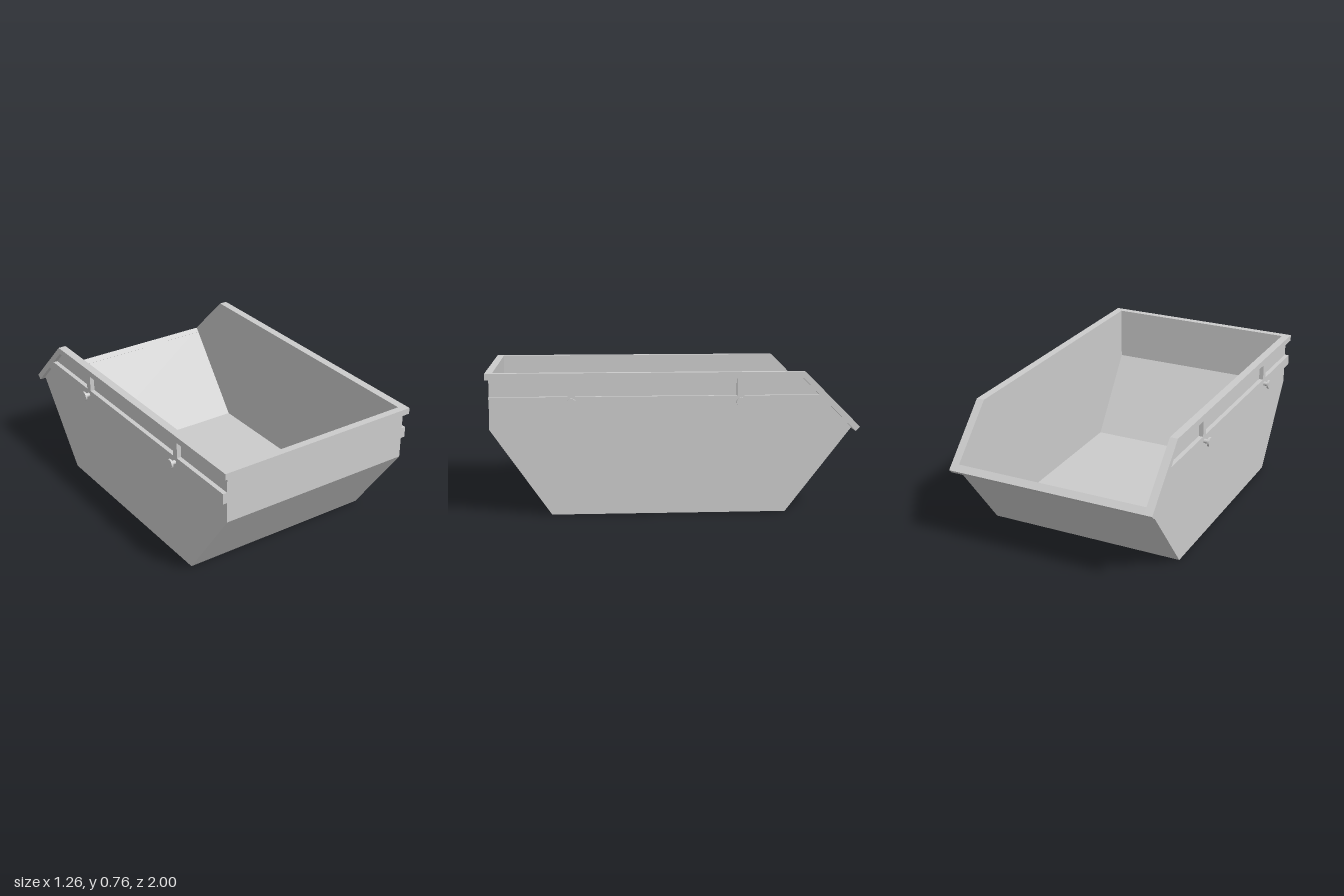
import * as THREE from 'three';

const steel = new THREE.MeshStandardMaterial({ color: 0xcccccc, flatShading: true });

// Side-view outline of [z, y] points, extruded across x from x0 to x1
function slab(name, points, x0, x1) {
  const shape = new THREE.Shape(points.map(([z, y]) => new THREE.Vector2(z, y)));
  const geometry = new THREE.ExtrudeGeometry(shape, { depth: x1 - x0, bevelEnabled: false });
  geometry.rotateY(-Math.PI / 2).translate(x1, 0, 0);
  const mesh = new THREE.Mesh(geometry, steel);
  mesh.name = name;
  return mesh;
}

// Round bar along x from x0 to x1
function bar(name, radius, x0, x1, y, z) {
  const geometry = new THREE.CylinderGeometry(radius, radius, Math.abs(x1 - x0), 20);
  geometry.rotateZ(Math.PI / 2).translate((x0 + x1) / 2, y, z);
  const mesh = new THREE.Mesh(geometry, steel);
  mesh.name = name;
  return mesh;
}

export function createModel() {
  const group = new THREE.Group();
  group.name = 'skipContainer';
  const inner = 0.55, outer = 0.57, edge = 0.595;

  // Floor, front wall and sloping back wall as one folded sheet
  group.add(slab('trough', [
    [0.98, 0.74], [0.96, 0.74], [0.96, 0.453], [0.645, 0.02], [-0.597, 0.02],
    [-0.962, 0.484], [-0.975, 0.475], [-0.964, 0.465], [-0.6, 0], [0.655, 0], [0.98, 0.46],
  ], -inner, inner));

  // Rim bars across the front and the low back edge
  group.add(slab('frontRim', [[1, 0.76], [0.96, 0.76], [0.96, 0.725], [1, 0.725]], -inner, inner));
  group.add(slab('backRim', [[-0.97, 0.49], [-1, 0.46], [-0.977, 0.437], [-0.947, 0.467]], -inner, inner));

  for (const side of [-1, 1]) {
    const add = (name, points, a, b) =>
      group.add(slab(name, points, Math.min(side * a, side * b), Math.max(side * a, side * b)));
    const prefix = side > 0 ? 'left' : 'right';

    // Side wall
    add(prefix + 'Wall', [
      [0.655, 0], [0.98, 0.46], [0.98, 0.74], [-0.695, 0.74], [-0.97, 0.465], [-0.964, 0.465], [-0.6, 0],
    ], inner, outer);

    // Rim running along the top and down the slope
    add(prefix + 'Rim', [
      [1, 0.76], [-0.7, 0.76], [-1, 0.46], [-0.977, 0.437], [-0.689, 0.725], [1, 0.725],
    ], inner, edge);

    // Horizontal stiffening rail
    add(prefix + 'Rail', [[0.98, 0.575], [0.98, 0.635], [-0.785, 0.635], [-0.845, 0.575]], outer, edge);

    // Upright ribs with lifting pins
    for (const z of [0.547, -0.352]) {
      add(prefix + 'Rib', [[z - 0.019, 0.63], [z + 0.019, 0.63], [z + 0.019, 0.73], [z - 0.019, 0.73]], outer, edge);
      group.add(bar(prefix + 'PinShaft', 0.012, side * 0.59, side * 0.622, 0.604, z));
      group.add(bar(prefix + 'PinHead', 0.026, side * 0.62, side * 0.631, 0.604, z));
    }
  }
  return group;
}
